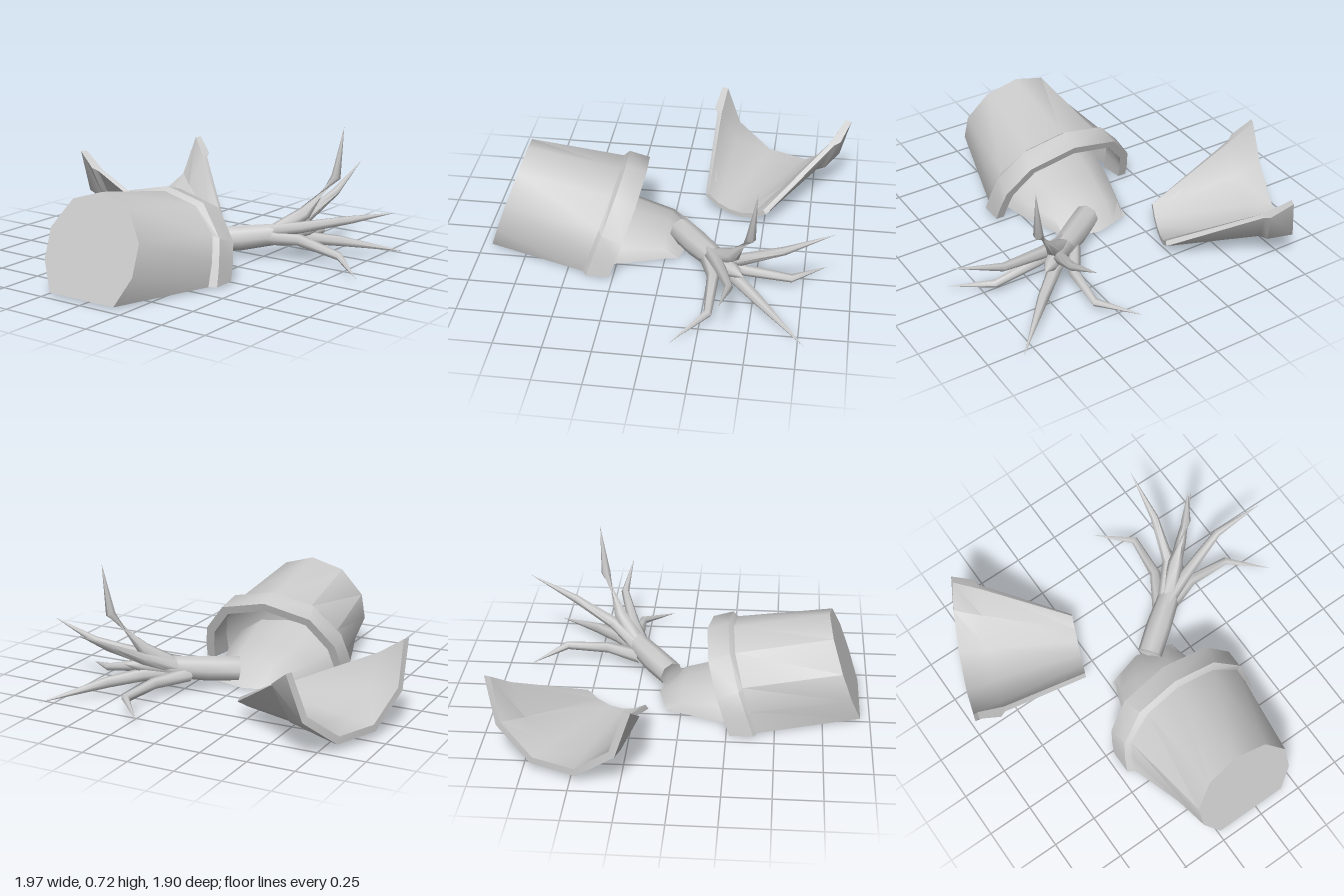
import * as THREE from 'three';
import { toCreasedNormals } from 'three/addons/utils/BufferGeometryUtils.js';

const V = (x, y, z) => new THREE.Vector3(x, y, z);
const material = new THREE.MeshStandardMaterial({ color: 0xcccccc, side: THREE.DoubleSide });

// Skins a list of equally long rows of points
function loft(name, rows, crease = 0.7) {
  const pos = [];
  const tri = (a, b, c) => {
    const area = b.clone().sub(a).cross(c.clone().sub(a)).length();
    if (area > 1e-8) for (const p of [a, b, c]) pos.push(p.x, p.y, p.z);
  };
  for (let i = 0; i + 1 < rows.length; i++) {
    for (let j = 0; j + 1 < rows[i].length; j++) {
      const a = rows[i][j], b = rows[i][j + 1], c = rows[i + 1][j + 1], d = rows[i + 1][j];
      tri(a, b, c);
      tri(a, c, d);
    }
  }
  const g = new THREE.BufferGeometry();
  g.setAttribute('position', new THREE.Float32BufferAttribute(pos, 3));
  const mesh = new THREE.Mesh(toCreasedNormals(g, crease), material);
  mesh.name = name;
  return mesh;
}

// Mirrors half a section, listed from the crown down to the ground
const POT_X = -0.033;
function section(half, zAt) {
  const full = [...half.slice(1).reverse().map(([x, y]) => [-x, y]), ...half];
  return full.map(([x, y]) => V(POT_X + x, y, zAt(x, y)));
}

// Fallen pot: tilted sections, open along the ground
function pot() {
  const tilted = z0 => (x, y) => z0 - (y - 0.02) * 0.353;
  const inset = (half, t) => half.map(([x, y]) => [x * (1 - t / 0.4), y > 0.03 ? y - t * (y / 0.42) : y]);
  const base = [[0, 0.53], [0.177, 0.475], [0.28, 0.325], [0.28, 0.168], [0.203, 0.02]];
  const neck = [[0, 0.437], [0.21, 0.392], [0.35, 0.265], [0.378, 0.14], [0.385, 0.02]];
  const lipBack = [[0, 0.457], [0.24, 0.405], [0.38, 0.25], [0.408, 0.13], [0.423, 0.02]];
  const lipFront = [[0, 0.421], [0.265, 0.36], [0.39, 0.21], [0.412, 0.11], [0.423, 0.02]];
  const inner = inset(lipFront, 0.045);
  return loft('pot', [
    section(base.map(([, y]) => [0, y]), tilted(0.95)),
    section(base, tilted(0.95)),
    section(neck, tilted(0.415)),
    section(lipBack, tilted(0.392)),
    section(lipFront, tilted(0.268)),
    section(inner, tilted(0.268)),
    section(inset(neck, 0.03), tilted(0.4)),
  ]);
}

// Soil spilling from the mouth of the pot
function soil() {
  const half = (w, h) => [[0, 1], [0.5, 0.9], [0.9, 0.5], [1, 0]].map(([x, y]) => [x * w, 0.02 + y * (h - 0.02)]);
  return loft('soil', [
    section(half(0.34, 0.24), () => 0.45),
    section(half(0.285, 0.175), () => 0.2),
    section(half(0.215, 0.127), x => 0.01 - 0.05 * Math.abs(x)),
    section(half(0.2, 0.02), x => -0.13 + 0.28 * Math.abs(x)),
  ], 0.9);
}

// Broken-off wall piece, a swept wall profile whose arc narrows to the small end
function shard() {
  const axis = V(0.926, 0, 0.379), side = V(0.379, 0, -0.926), origin = V(-0.83, 0, -0.565);
  const profile = [
    [0, 0.375, 0.04], [0, 0.412, 0], [0.12, 0.405, 0], [0.145, 0.378, 0.02],
    [0.6, 0.295, 0], [0.6, 0.268, 0.027], [0.145, 0.35, 0.048], [0, 0.375, 0.04],
  ];
  const n = 5;
  const rows = profile.map(([s, r, lift]) => {
    const spread = THREE.MathUtils.lerp(1.6, 0.7, s / 0.6);
    return Array.from({ length: n + 1 }, (_, j) => {
      const t = spread * (2 * j / n - 1);
      const along = s - 0.06 * Math.cos(t) * (1 - s / 0.6);
      const p = origin.clone().addScaledVector(axis, along).addScaledVector(side, r * Math.sin(t));
      p.y = 0.03 + lift + r * (1 - Math.cos(t));
      return p;
    });
  });
  const group = new THREE.Group();
  group.name = 'potShard';
  group.add(loft('shardWall', rows));
  // Broken edges on both sides
  for (const j of [0, n]) {
    const e = rows.map(r => r[j]);
    group.add(loft('shardEdge', [[e[1], e[2], e[3], e[4]], [e[0], e[6], e[6], e[5]]]));
  }
  return group;
}

// Tapered limb: points are [x, y, z, radius]
function limb(name, points, sides = 6) {
  const c = points.map(p => V(p[0], p[1], p[2]));
  const rows = c.map((p, i) => {
    const dir = c[Math.min(i + 1, c.length - 1)].clone().sub(c[Math.max(i - 1, 0)]).normalize();
    const ref = Math.abs(dir.y) > 0.9 ? V(1, 0, 0) : V(0, 1, 0);
    const u = ref.clone().cross(dir).normalize(), v = dir.clone().cross(u);
    return Array.from({ length: sides + 1 }, (_, j) => {
      const a = (j % sides) / sides * Math.PI * 2;
      return p.clone().addScaledVector(u, points[i][3] * Math.cos(a)).addScaledVector(v, points[i][3] * Math.sin(a));
    });
  });
  return loft(name, rows, 1.15);
}

function plant() {
  const group = new THREE.Group();
  group.name = 'deadPlant';
  group.add(limb('trunk', [
    [0.035, 0.10, -0.085, 0], [0.02, 0.105, -0.07, 0.068], [0.15, 0.115, -0.17, 0.07],
    [0.3, 0.135, -0.28, 0.06], [0.44, 0.16, -0.4, 0.035], [0.5, 0.17, -0.45, 0],
  ], 8));
  const branches = [
    [[0.3, 0.15, -0.28, 0.045], [0.42, 0.25, -0.39, 0.038], [0.555, 0.45, -0.485, 0.026], [0.582, 0.725, -0.515, 0]],
    [[0.27, 0.12, -0.26, 0.045], [0.42, 0.11, -0.4, 0.036], [0.56, 0.085, -0.53, 0.03], [0.82, 0.01, -0.785, 0]],
    [[0.26, 0.15, -0.25, 0.04], [0.45, 0.19, -0.32, 0.033], [0.71, 0.255, -0.395, 0.022], [0.985, 0.34, -0.37, 0]],
    [[0.26, 0.12, -0.23, 0.04], [0.45, 0.125, -0.29, 0.033], [0.7, 0.075, -0.29, 0.022], [0.9, 0.025, -0.12, 0]],
    [[0.27, 0.14, -0.28, 0.04], [0.4, 0.21, -0.43, 0.033], [0.46, 0.325, -0.65, 0.022], [0.475, 0.46, -0.905, 0]],
    [[0.22, 0.1, -0.26, 0.04], [0.325, 0.09, -0.45, 0.03], [0.35, 0.08, -0.69, 0.022], [0.18, 0.05, -0.87, 0]],
  ];
  for (const b of branches) group.add(limb('branch', b));
  return group;
}

export function createModel() {
  const model = new THREE.Group();
  model.name = 'brokenPlantPot';
  model.add(pot(), soil(), shard(), plant());
  return model;
}
